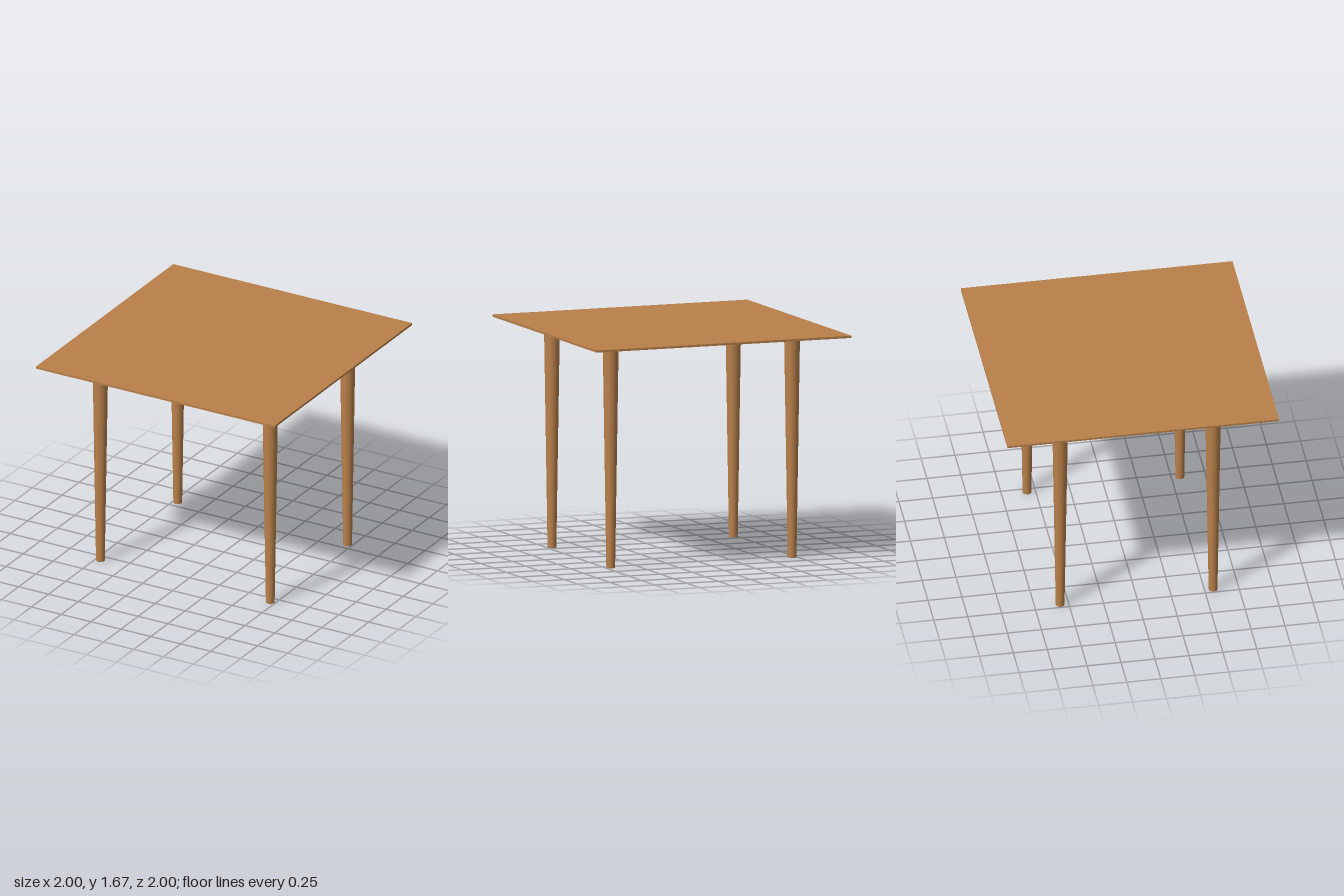
import * as THREE from 'three';

export function createModel() {
  const model = new THREE.Group();
  model.name = 'table';

  const wood = new THREE.MeshStandardMaterial({ color: 0xb9804a });
  wood.name = 'warm wood';

  const legHeight = 1.65;
  const topThickness = 0.016;

  // Thin square top
  const top = new THREE.Mesh(new THREE.BoxGeometry(2, topThickness, 2), wood);
  top.name = 'tableTop';
  top.position.y = legHeight + topThickness / 2;
  model.add(top);

  // Four round legs, tapering towards the floor
  const legGeometry = new THREE.CylinderGeometry(0.058, 0.032, legHeight, 32);
  for (const [endName, z] of [['front', 0.563], ['back', -0.563]]) {
    for (const [sideName, x] of [['Left', 0.711], ['Right', -0.711]]) {
      const leg = new THREE.Mesh(legGeometry, wood);
      leg.name = `${endName}${sideName}Leg`;
      leg.position.set(x, legHeight / 2, z);
      model.add(leg);
    }
  }

  return model;
}
